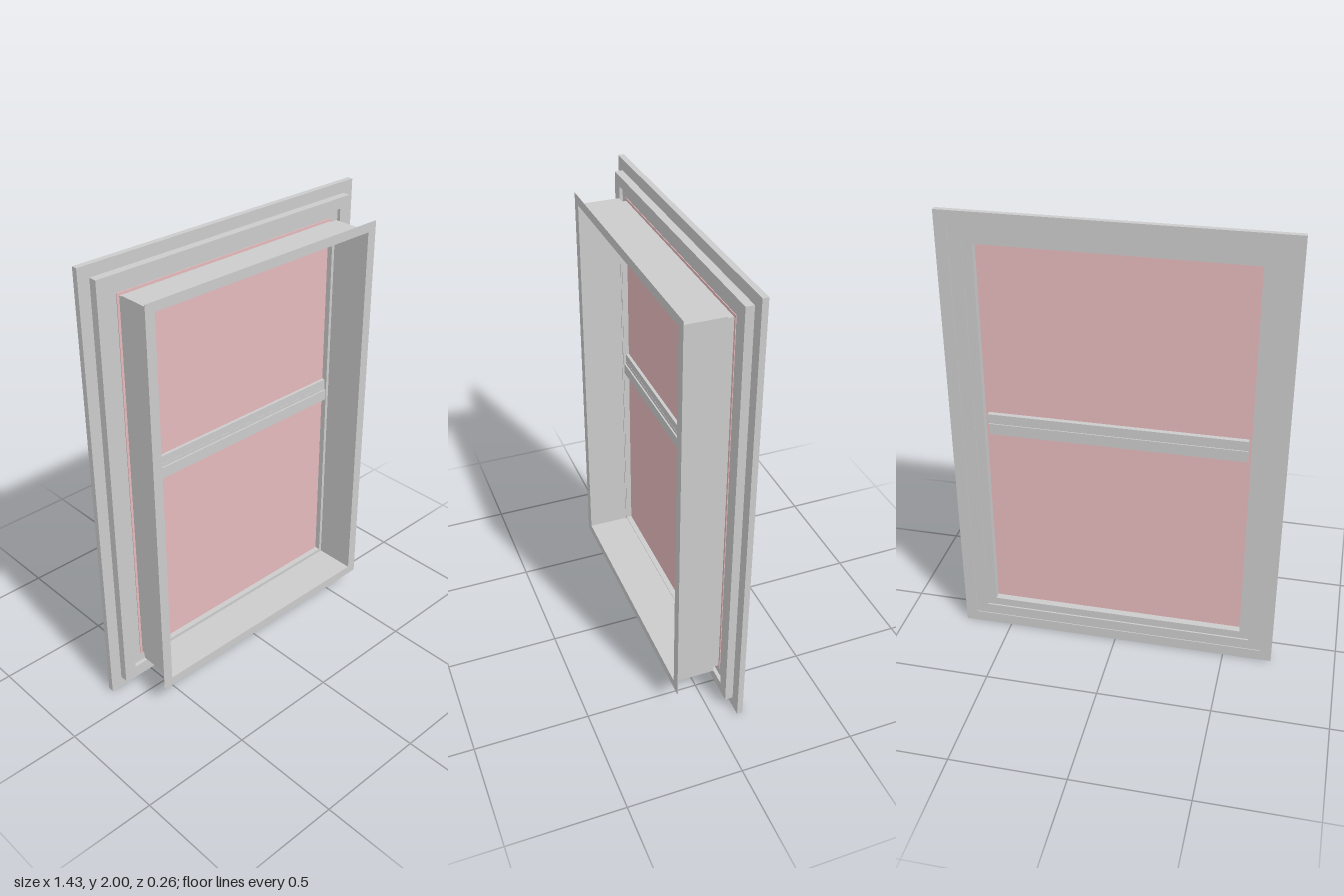
import * as THREE from 'three';

const grey = new THREE.MeshStandardMaterial({ color: 0xcccccc, side: THREE.DoubleSide });
const tint = new THREE.MeshStandardMaterial({ color: 0xe6babd, side: THREE.DoubleSide });
const MID = 1.003; // height of the window's centre

// Trace a centred rectangle onto a shape or path
function rect(path, hx, hy) {
  path.moveTo(-hx, -hy);
  path.lineTo(hx, -hy);
  path.lineTo(hx, hy);
  path.lineTo(-hx, hy);
  path.closePath();
  return path;
}

// Rectangular ring running from z0 (back) to z1 (front)
function ring(name, outer, inner, z0, z1, y = MID) {
  const shape = rect(new THREE.Shape(), ...outer);
  shape.holes.push(rect(new THREE.Path(), ...inner));
  const geo = new THREE.ExtrudeGeometry(shape, { depth: z1 - z0, bevelEnabled: false });
  const mesh = new THREE.Mesh(geo, grey);
  mesh.name = name;
  mesh.position.set(0, y, z0);
  return mesh;
}

// Horizontal bar or pane given by half width, height range and depth range
function slab(name, hx, y0, y1, z0, z1, material = grey) {
  const mesh = new THREE.Mesh(new THREE.BoxGeometry(2 * hx, y1 - y0, z1 - z0), material);
  mesh.name = name;
  mesh.position.set(0, (y0 + y1) / 2, (z0 + z1) / 2);
  return mesh;
}

export function createModel() {
  const model = new THREE.Group();
  model.name = 'window';

  // Outside casing: three nested rings, stepping slightly in toward the opening
  const casing = new THREE.Group();
  casing.name = 'casing';
  casing.add(
    ring('outerCasing', [0.717, 1], [0.665, 0.95], -0.13, -0.105, 1),
    ring('middleCasing', [0.665, 0.95], [0.61, 0.902], -0.126, -0.07, 1),
    ring('innerCasing', [0.61, 0.902], [0.568, 0.865], -0.122, -0.085),
  );
  model.add(casing);

  // Thin bead holding the glass
  model.add(ring('glassBead', [0.557, 0.853], [0.554, 0.85], -0.085, -0.057));

  // Upper and lower panes
  model.add(
    slab('lowerGlass', 0.568, 0.138, 1.06, -0.09, -0.082, tint),
    slab('upperGlass', 0.568, 1.06, 1.868, -0.09, -0.082, tint),
  );

  // Meeting rails of the two sashes with a narrow joint between them
  const rails = new THREE.Group();
  rails.name = 'meetingRails';
  rails.add(
    slab('lowerRail', 0.555, 1.01, 1.06, -0.105, -0.06),
    slab('railJoint', 0.555, 1.06, 1.075, -0.1, -0.067),
    slab('upperRail', 0.555, 1.075, 1.11, -0.112, -0.068),
  );
  model.add(rails);

  // Inside lining of the wall opening, with a thin flange at its front edge
  const lining = new THREE.Group();
  lining.name = 'lining';
  lining.add(
    ring('liningWalls', [0.568, 0.865], [0.564, 0.861], -0.053, 0.128),
    ring('liningFlange', [0.608, 0.902], [0.564, 0.861], 0.128, 0.13),
  );
  model.add(lining);

  return model;
}
